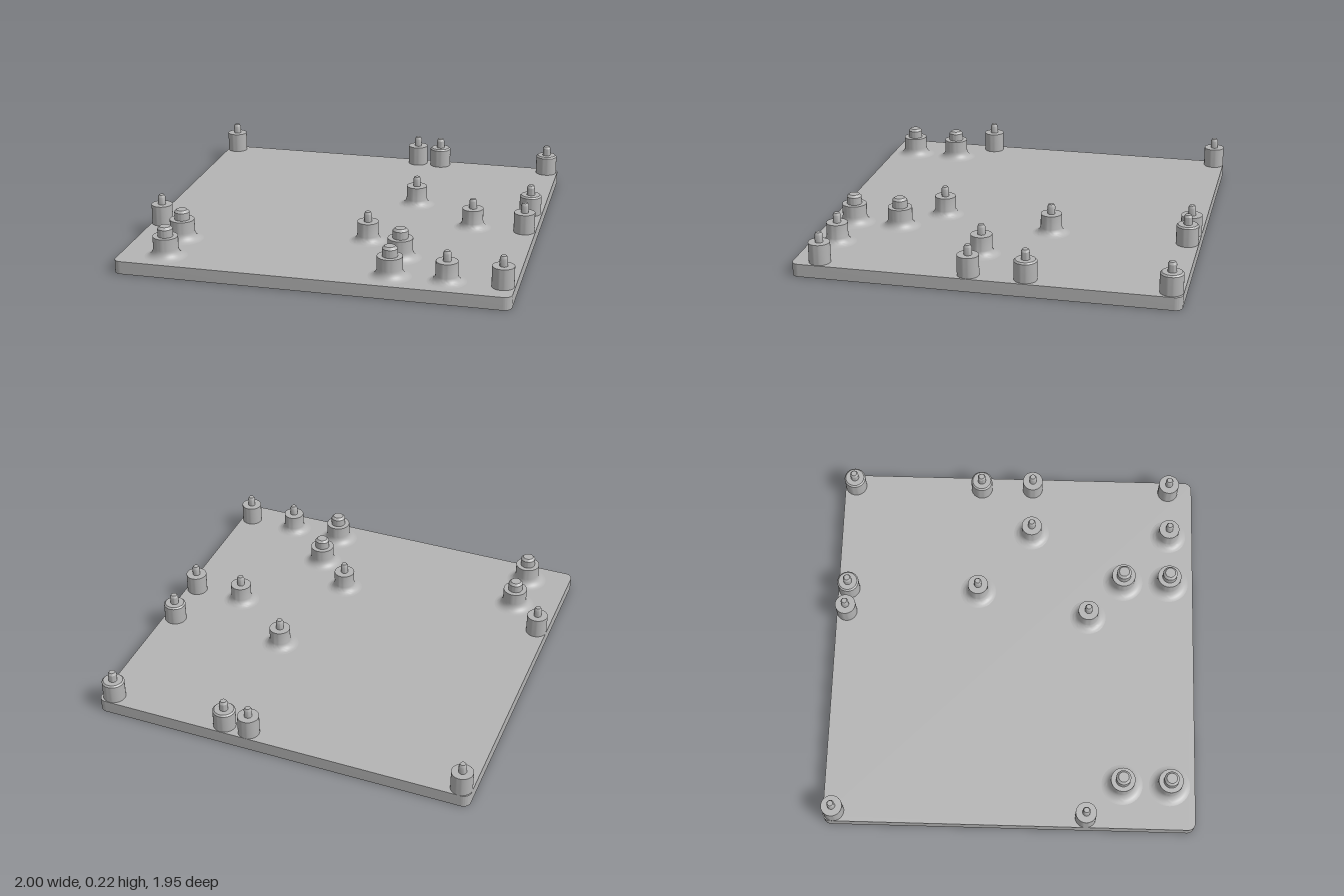
import * as THREE from 'three';
import { toCreasedNormals } from 'three/addons/utils/BufferGeometryUtils.js';

const PLATE_TOP = 0.067, BODY_TOP = 0.173, PIN_TOP = 0.225;

// Turned post: optional concave foot, body, chamfered locating pin
function postGeometry({ body, pin, foot = 0, chamfer = 0 }) {
  const pts = [];
  const add = (r, y) => pts.push(new THREE.Vector2(r, y));
  if (foot) {
    const steps = 7;
    for (let i = 0; i <= steps; i++) {
      const a = (i / steps) * Math.PI / 2;
      add(body + foot * (1 - Math.sin(a)), PLATE_TOP + foot * (1 - Math.cos(a)));
    }
  } else {
    add(body, PLATE_TOP - 0.005);
  }
  if (chamfer) add(body, BODY_TOP - chamfer);
  add(body - chamfer, BODY_TOP);
  add(pin, BODY_TOP);
  add(pin, PIN_TOP - 0.012);
  add(pin * 0.7, PIN_TOP);
  add(0, PIN_TOP);
  return toCreasedNormals(new THREE.LatheGeometry(pts, 40), 0.5);
}

// Flat plate with rounded vertical corners
function plateGeometry(hx, hz, r) {
  const s = new THREE.Shape();
  s.moveTo(-hx + r, -hz);
  s.lineTo(hx - r, -hz);
  s.absarc(hx - r, -hz + r, r, -Math.PI / 2, 0);
  s.lineTo(hx, hz - r);
  s.absarc(hx - r, hz - r, r, 0, Math.PI / 2);
  s.lineTo(-hx + r, hz);
  s.absarc(-hx + r, hz - r, r, Math.PI / 2, Math.PI);
  s.lineTo(-hx, -hz + r);
  s.absarc(-hx + r, -hz + r, r, Math.PI, Math.PI * 1.5);
  const g = new THREE.ExtrudeGeometry(s, { depth: PLATE_TOP, bevelEnabled: false, curveSegments: 8 });
  g.rotateX(-Math.PI / 2);
  return toCreasedNormals(g, 0.5);
}

export function createModel() {
  const group = new THREE.Group();
  group.name = 'standoffPlate';
  const grey = new THREE.MeshStandardMaterial({ color: 0xb4b4b4 });
  grey.name = 'lightGrey';

  const plate = new THREE.Mesh(plateGeometry(1, 0.975, 0.04), grey);
  plate.name = 'basePlate';
  group.add(plate);

  // Each kind of post with its [x, z] positions
  const kinds = [
    { name: 'plainPost', shape: { body: 0.055, pin: 0.02 },
      at: [[-0.945, -0.92], [0.175, -0.92], [-0.945, 0.4], [0.94, 0.08], [0.94, 0.84]] },
    { name: 'chamferedPost', shape: { body: 0.058, pin: 0.022, chamfer: 0.008 },
      at: [[0.31, -0.915], [0.935, -0.915], [0.935, -0.205]] },
    { name: 'flaredPost', shape: { body: 0.055, pin: 0.02, foot: 0.043 },
      at: [[0.31, -0.205], [0.667, 0.08], [0.175, 0.4], [0.667, 0.84]] },
    { name: 'largeFlaredPost', shape: { body: 0.064, pin: 0.039, foot: 0.045 },
      at: [[-0.765, 0.59], [0.385, 0.59], [-0.765, 0.84], [0.385, 0.84]] },
  ];
  for (const { name, shape, at } of kinds) {
    const geometry = postGeometry(shape);
    for (const [x, z] of at) {
      const post = new THREE.Mesh(geometry, grey);
      post.name = name;
      post.position.set(x, 0, z);
      group.add(post);
    }
  }
  return group;
}
